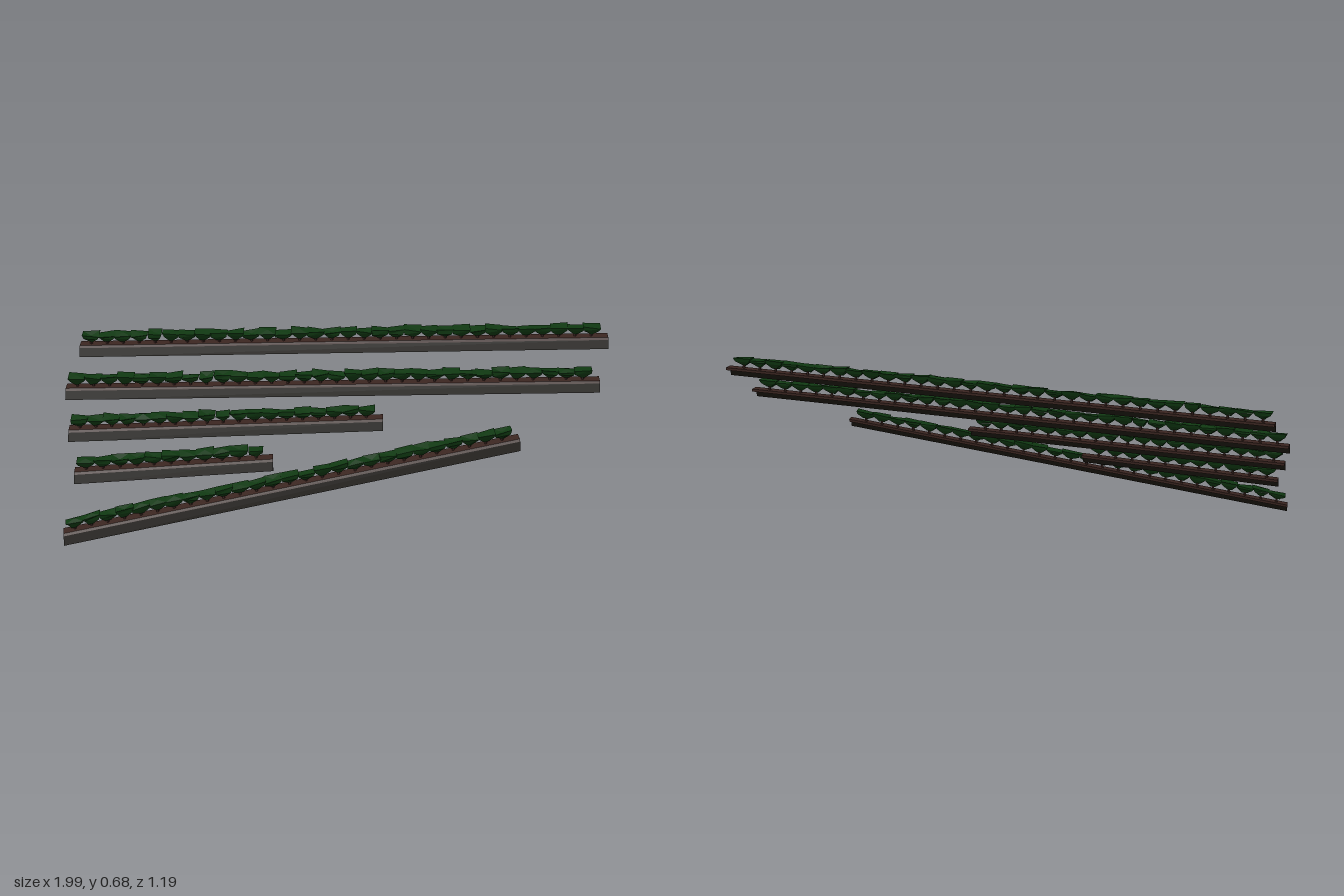
import * as THREE from 'three';
import { mergeGeometries } from 'three/addons/utils/BufferGeometryUtils.js';

// Each terrace: lower front edge from its right end to its left end (x, y, z),
// and the distance along it where the hedge has a small break (0 = none).
const TERRACES = [
  { from: [-0.983, 0.533, 0.018], to: [0.994, 0.59, -0.54], gap: 0.29 },
  { from: [-0.983, 0.406, 0.163], to: [0.994, 0.463, -0.39], gap: 0.56 },
  { from: [-0.918, 0.288, 0.291], to: [0.228, 0.336, -0.067], gap: 0.57 },
  { from: [-0.846, 0.17, 0.409], to: [-0.134, 0.218, 0.168], gap: 0.66 },
  { from: [-0.812, 0, 0.592], to: [0.752, 0.3, -0.114], gap: 0 },
];

// repeatable noise in -1..1
function noise(a, b = 0, c = 0) {
  const s = Math.sin(a * 127.1 + b * 311.7 + c * 74.7) * 43758.5453;
  return (s - Math.floor(s)) * 2 - 1;
}

// local frame of a terrace: x = towards the back, y = up, z = along the row
function rowFrame(from, to) {
  const start = new THREE.Vector3(...from);
  const run = new THREE.Vector3(...to).sub(start);
  const length = Math.hypot(run.x, run.z);
  const along = run.divideScalar(length);
  const back = new THREE.Vector3(along.z, 0, -along.x);
  const matrix = new THREE.Matrix4()
    .makeBasis(back, new THREE.Vector3(0, 1, 0), along)
    .setPosition(start);
  return { matrix, length };
}

function extrudeProfile(points, length) {
  const shape = new THREE.Shape(points.map(([x, y]) => new THREE.Vector2(x, y)));
  return new THREE.ExtrudeGeometry(shape, { depth: length, bevelEnabled: false });
}

// leafy crown: an upside-down tapered block, ragged on top and higher at the back
function crownGeometry(z, length, seed) {
  const g = new THREE.CylinderGeometry(Math.SQRT1_2, Math.SQRT1_2, 1, 4, 2);
  g.rotateY(Math.PI / 4);
  const p = g.attributes.position;
  const lift = noise(seed, 9) * 0.003;
  for (let i = 0; i < p.count; i++) {
    const x = Math.round(p.getX(i) * 2), y = Math.round(p.getY(i) * 2), w = Math.round(p.getZ(i) * 2);
    const level = y + 1;
    const spread = [0.25, 0.85, 1][level];
    const n = noise(seed + x * 3.1, level, w * 1.7);
    p.setXYZ(i,
      0.042 + x * 0.022 * spread + n * 0.003,
      [0.053, 0.069, 0.081][level] + x * 0.003 + (n * 0.006 + lift) * level / 2,
      z + w * length * 0.54 * spread + (level < 2 ? n * 0.004 : 0));
  }
  g.computeVertexNormals();
  return g;
}

function createTerrace({ from, to, gap }, index, mats) {
  const { matrix, length } = rowFrame(from, to);
  const group = new THREE.Group();
  group.name = 'terrace' + (index + 1);
  const add = (name, geometry, material) => {
    geometry.applyMatrix4(matrix);
    const mesh = new THREE.Mesh(geometry, material);
    mesh.name = name;
    group.add(mesh);
  };

  // leaning retaining wall and the soil shelf behind it
  add('retainingWall', extrudeProfile([[0, 0], [0.015, 0], [0.024, 0.026], [0.014, 0.032]], length), mats.wall);
  add('soilShelf', extrudeProfile([[0.016, 0.025], [0.063, 0.034], [0.063, 0.044], [0.022, 0.04], [0.014, 0.032]], length), mats.soil);

  // row of small bushes on short stems
  const first = 0.012, usable = length - 0.045;
  const count = Math.round(usable / 0.062), step = usable / count;
  const stems = [], crowns = [];
  for (let i = 0; i < count; i++) {
    const z = first + (i + 0.5) * step;
    const atGap = gap > 0 && Math.abs(z - gap) < step / 2;
    const stem = new THREE.CylinderGeometry(0.004, 0.006, 0.022, 5);
    stem.translate(0.042, 0.049, z);
    stems.push(stem);
    crowns.push(crownGeometry(z, atGap ? step * 0.8 : step, index * 50 + i));
  }
  add('stems', mergeGeometries(stems), mats.stem);
  add('bushes', mergeGeometries(crowns), mats.leaf);
  return group;
}

export function createModel() {
  const paint = (color) => new THREE.MeshStandardMaterial({ color, flatShading: true });
  const mats = {
    wall: paint(0x18150e),
    soil: paint(0x3a2520),
    stem: paint(0x3a2520),
    leaf: paint(0x0f3811),
  };
  const model = new THREE.Group();
  model.name = 'terracedHedges';
  TERRACES.forEach((t, i) => model.add(createTerrace(t, i, mats)));
  return model;
}
